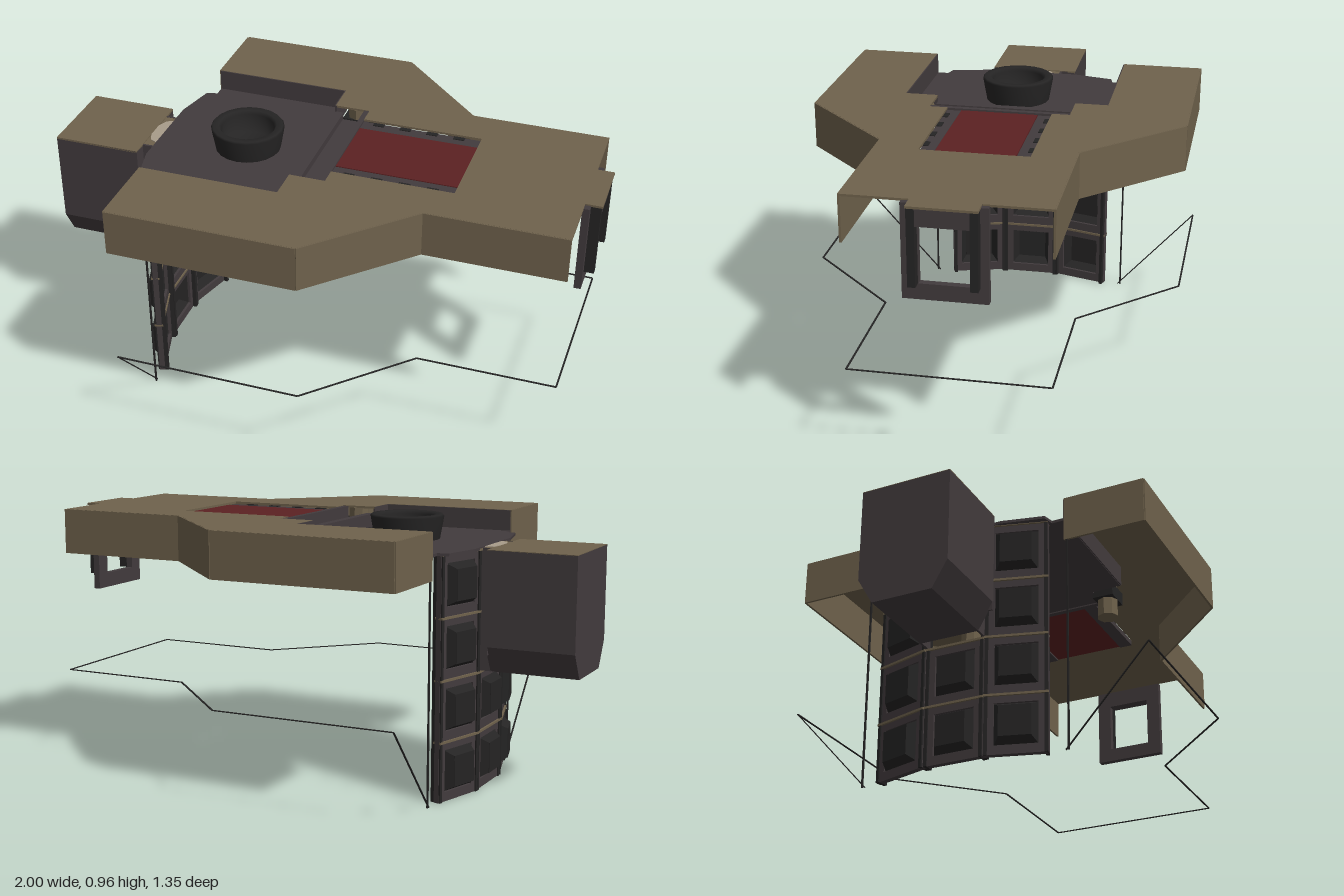
import * as THREE from 'three';

const mat = (name, color, side = THREE.FrontSide) => {
  const m = new THREE.MeshStandardMaterial({ color, side });
  m.name = name;
  return m;
};

export function createModel() {
  const root = new THREE.Group();
  const olive = mat('olive', 0x6f624c);
  const dark = mat('dark grey', 0x423b3d);
  const black = mat('near black', 0x252424, THREE.DoubleSide);
  const red = mat('deep red', 0x5c2122);
  const sand = mat('sand', 0xa89c8a, THREE.DoubleSide);

  const add = (name, geo, m, parent = root) => {
    const mesh = new THREE.Mesh(geo, m);
    mesh.name = name;
    parent.add(mesh);
    return mesh;
  };
  // box given by its limits on each axis
  const box = (name, m, x0, x1, y0, y1, z0, z1, parent = root) =>
    add(name, new THREE.BoxGeometry(x1 - x0, y1 - y0, z1 - z0)
      .translate((x0 + x1) / 2, (y0 + y1) / 2, (z0 + z1) / 2), m, parent);
  const pts = (list) => list.map(([x, y]) => new THREE.Vector2(x, y));
  // horizontal plate from an x,z outline, top face at the given height
  const plate = (name, m, outline, top, thick, hole) => {
    const s = new THREE.Shape(pts(outline));
    if (hole) s.holes.push(new THREE.Path(pts(hole)));
    return add(name, new THREE.ExtrudeGeometry(s, { depth: thick, bevelEnabled: false })
      .rotateX(Math.PI / 2).translate(0, top, 0), m);
  };
  const mirrorZ = (half) => [...half, ...half.map(([x, z]) => [x, -z]).reverse()];
  // straight bar between two points
  const bar = (name, m, a, b, w, h) => {
    const A = new THREE.Vector3(...a), B = new THREE.Vector3(...b);
    const mesh = add(name, new THREE.BoxGeometry(w, h, A.distanceTo(B)), m);
    mesh.position.copy(A).add(B).multiplyScalar(0.5);
    mesh.lookAt(B);
  };

  // Hull roof with a stepped opening for deck, trench and red strip
  const side = [[0.94, 0.34], [0.44, 0.34], [0.11, 0.67], [-0.565, 0.67], [-0.565, 0.375]];
  plate('hullRoof', olive, mirrorZ([...side, [-0.06, 0.375], [-0.06, 0.255], [0.07, 0.255],
    [0.07, 0.19], [0.51, 0.19]]), 0.945, 0.008);

  // Skirt walls, open at the +x end, and the thin outline hanging below
  for (const s of [1, -1]) {
    for (let i = 0; i < side.length - 1; i++) {
      const [x0, z0] = side[i], [x1, z1] = side[i + 1];
      bar('hullWall', olive, [x0, 0.862, z0 * s], [x1, 0.862, z1 * s], 0.008, 0.165);
      const yEnd = i === 3 ? 0 : 0.33;
      bar('hangingLine', black, [x0, 0.33, z0 * s], [x1, yEnd, z1 * s], 0.006, 0.003);
    }
    box('hangingPost', black, -0.568, -0.562, 0, 0.865, s * 0.385 - 0.003, s * 0.385 + 0.003);
    // Sides of the deck recess
    box('recessSide', dark, -0.565, -0.06, 0.86, 0.944, s * 0.375 - 0.004, s * 0.375 + 0.004);
    box('recessFront', dark, -0.064, -0.056, 0.86, 0.944,
      Math.min(s * 0.255, s * 0.375), Math.max(s * 0.255, s * 0.375));
    // Support posts under the hull
    const post = add('supportPost', new THREE.CylinderGeometry(0.04, 0.04, 0.155, 8).toNonIndexed(), olive);
    post.geometry.computeVertexNormals();
    post.position.set(0.02, 0.86, s * 0.29);
    box('postClamp', black, -0.03, 0.07, 0.85, 0.9, s * 0.29 - 0.04, s * 0.29 + 0.04);
    // Toothed rails beside the red strip
    box('stripRail', dark, 0.07, 0.51, 0.915, 0.935, s * 0.165 - 0.025, s * 0.165 + 0.025);
    for (let i = 0; i < 4; i++) {
      box('railTooth', black, 0.11 + i * 0.1, 0.15 + i * 0.1, 0.93, 0.938, s * 0.18 - 0.009, s * 0.18 + 0.009);
    }
  }
  bar('hangingLine', black, [0.94, 0.33, 0.34], [0.94, 0.33, -0.34], 0.006, 0.003);
  box('redStrip', red, 0.07, 0.51, 0.92, 0.937, -0.138, 0.138);

  // Recessed deck and trench
  plate('deck', dark, mirrorZ([[-0.06, 0.375], [-0.565, 0.375], [-0.565, 0.33], [-0.605, 0.32],
    [-0.64, 0.17]]), 0.868, 0.01);
  box('trenchFloor', dark, -0.06, 0.07, 0.875, 0.895, -0.255, 0.255);
  box('trenchStep', dark, -0.06, -0.03, 0.87, 0.92, -0.255, 0.255);
  box('trenchEdge', dark, 0.05, 0.07, 0.87, 0.943, -0.255, 0.255);

  // Round hatch collar
  const collar = add('hatchCollar', new THREE.LatheGeometry(pts([[0.118, 0.866], [0.133, 0.95],
    [0.128, 0.957], [0.105, 0.957], [0.096, 0.945], [0.09, 0.875], [0, 0.875]]), 20), black);
  collar.position.set(-0.31, 0, 0);
  const under = add('hatchRing', new THREE.TorusGeometry(0.1, 0.008, 6, 20).rotateX(Math.PI / 2), black);
  under.position.set(-0.31, 0.858, 0);

  // Panel wall: frame, pan pressed outwards, and ledge, facing local +z
  const panel = (name, w, h) => {
    const g = new THREE.Group();
    g.name = name;
    const rect = (a, b) => pts([[-a, -b], [a, -b], [a, b], [-a, b]]);
    const s = new THREE.Shape(rect(w / 2, h / 2));
    s.holes.push(new THREE.Path(rect(0.075, 0.075)));
    add('panelFrame', new THREE.ExtrudeGeometry(s, { depth: 0.02, bevelEnabled: false })
      .translate(0, 0, -0.015), dark, g);
    const pan = new THREE.CylinderGeometry(0.055 * Math.SQRT2, 0.075 * Math.SQRT2, 0.035, 4, 1, true)
      .rotateY(Math.PI / 4).rotateX(Math.PI / 2).translate(0, 0, 0.0125).toNonIndexed();
    pan.computeVertexNormals();
    add('panelPan', pan, black, g);
    add('panelFace', new THREE.BoxGeometry(0.11, 0.11, 0.004).translate(0, 0, 0.03), black, g);
    box('panelLedge', olive, -w / 2, w / 2, h / 2 - 0.008, h / 2, -0.02, 0.012, g);
    for (const e of [-1, 1]) {
      box('panelRib', black, e * (w / 2 - 0.008) - 0.006, e * (w / 2 - 0.008) + 0.006,
        -h / 2, h / 2, -0.03, 0.01, g);
    }
    root.add(g);
    return g;
  };
  const rowH = 0.216;
  for (let row = 0; row < 4; row++) {
    const y = rowH * (row + 0.5);
    if (row < 2) {
      const c = panel('centrePanel', 0.22, rowH);
      c.position.set(-0.63, y, 0);
      c.rotation.y = -Math.PI / 2;
    }
    for (const s of [1, -1]) {
      const p = panel('sidePanel', 0.218, rowH);
      p.position.set(-0.603, y, s * 0.215);
      p.rotation.y = Math.atan2(-0.21, s * 0.06);
    }
  }

  // Rear box: open towards the hull, lower corners cut
  const sect = [[-0.165, 0.865], [-0.165, 0.53], [-0.11, 0.435], [0.11, 0.435], [0.165, 0.53], [0.165, 0.865]];
  const tube = [];
  const quad = (a, b, c, d) => tube.push(...a, ...b, ...c, ...a, ...c, ...d);
  for (let i = 0; i < 5; i++) {
    const [z0, y0] = sect[i], [z1, y1] = sect[i + 1];
    quad([-1, y0, z0], [-0.68, y0, z0], [-0.68, y1, z1], [-1, y1, z1]);
  }
  // flip so the sides face outwards
  for (let i = 0; i < tube.length; i += 9) {
    const b = tube.slice(i + 3, i + 6);
    const c = tube.slice(i + 6, i + 9);
    tube.splice(i + 3, 6, ...(isOutward(tube.slice(i, i + 3), b, c) ? [...b, ...c] : [...c, ...b]));
  }
  const tubeGeo = new THREE.BufferGeometry();
  tubeGeo.setAttribute('position', new THREE.Float32BufferAttribute(tube, 3));
  tubeGeo.computeVertexNormals();
  add('rearBoxSides', tubeGeo, dark);
  add('rearBoxEnd', new THREE.ShapeGeometry(new THREE.Shape(pts(sect)))
    .rotateY(-Math.PI / 2).translate(-1, 0, 0), dark);
  box('rearBoxTop', olive, -1, -0.68, 0.86, 0.867, -0.165, 0.165);
  for (const s of [1, -1]) {
    box('rearBoxNeck', dark, -0.685, -0.63, 0.435, 0.865, s * 0.108 - 0.004, s * 0.108 + 0.004);
    box('rearBoxShoulder', dark, -0.686, -0.68, 0.5, 0.865, s * 0.137 - 0.028, s * 0.137 + 0.028);
  }
  box('neckTop', olive, -0.685, -0.64, 0.858, 0.864, -0.105, 0.105);
  plate('lightLens', sand, mirrorZ([[-0.635, 0.085], [-0.665, 0.07], [-0.68, 0.035]]), 0.867, 0.005);

  // End bracket with a tall window
  const frame = new THREE.Shape(pts([[-0.14, 0.615], [0.14, 0.615], [0.14, 0.94], [-0.14, 0.94]]));
  frame.holes.push(new THREE.Path(pts([[-0.085, 0.67], [0.085, 0.67], [0.085, 0.87], [-0.085, 0.87]])));
  add('endBracket', new THREE.ExtrudeGeometry(frame, { depth: 0.025, bevelEnabled: false })
    .rotateY(Math.PI / 2).translate(0.935, 0, 0), dark);
  for (const s of [1, -1]) {
    box('bracketCheek', black, 0.96, 0.995, 0.67, 0.938, s * 0.1 - 0.013, s * 0.1 + 0.013);
  }
  box('bracketHeader', dark, 0.96, 0.99, 0.875, 0.938, -0.11, 0.11);
  box('bracketLip', olive, 0.935, 1, 0.937, 0.945, -0.115, 0.115);

  return root;
}

// true when a triangle faces away from the rear box's long axis
function isOutward(a, b, c) {
  const [A, B, C] = [a, b, c].map((p) => new THREE.Vector3(...p));
  const n = B.clone().sub(A).cross(C.clone().sub(A));
  const mid = A.clone().add(B).add(C).divideScalar(3);
  return n.dot(new THREE.Vector3(0, mid.y - 0.65, mid.z)) > 0;
}
